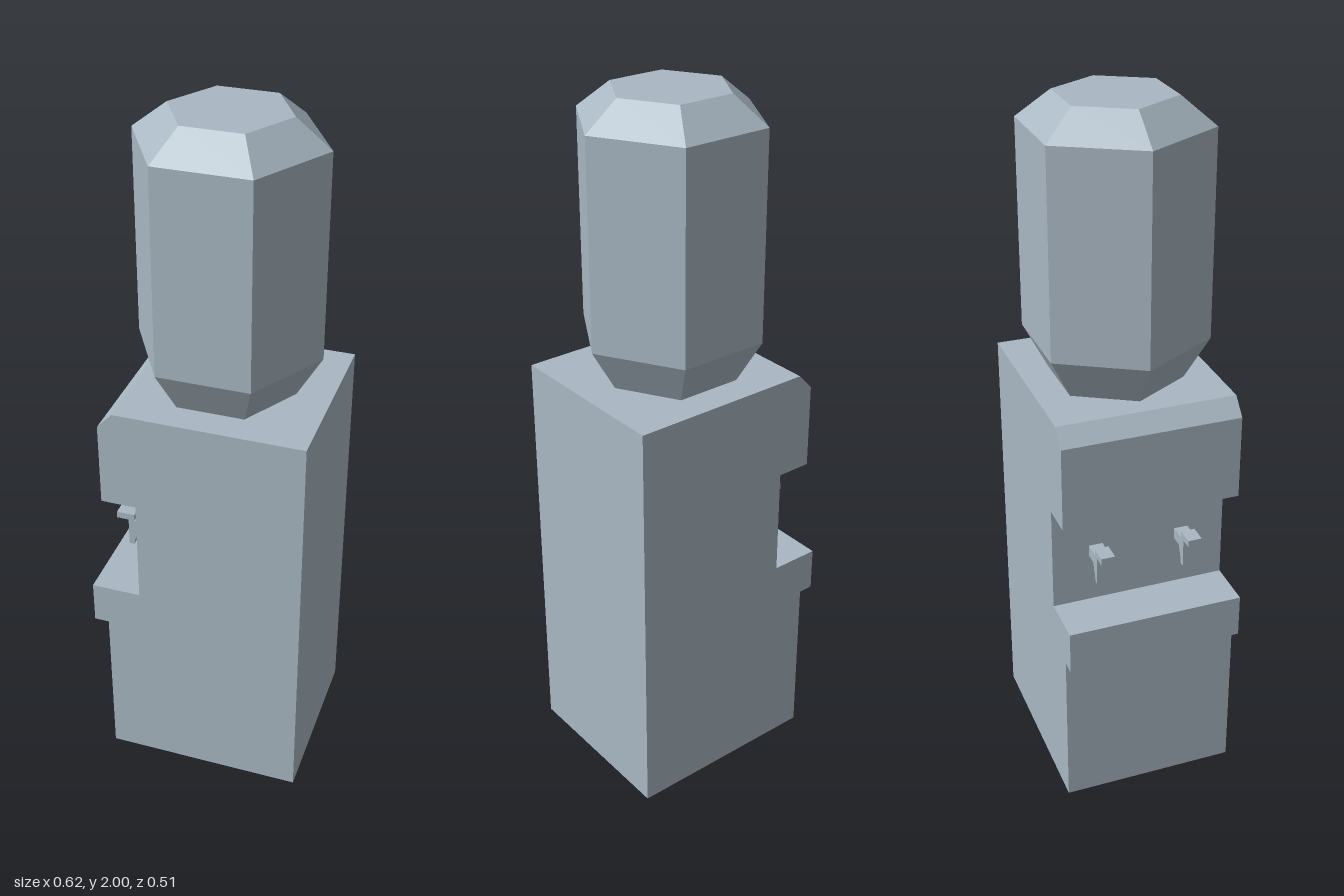
import * as THREE from 'three';

// Extrude an x/y profile along z, centred on the given z
function slab(name, points, width, z, material) {
  const shape = new THREE.Shape(points.map(([x, y]) => new THREE.Vector2(x, y)));
  const geometry = new THREE.ExtrudeGeometry(shape, { depth: width, bevelEnabled: false });
  geometry.translate(0, 0, z - width / 2);
  const mesh = new THREE.Mesh(geometry, material);
  mesh.name = name;
  return mesh;
}

export function createModel() {
  const model = new THREE.Group();
  model.name = 'waterCooler';
  const blueGrey = new THREE.MeshStandardMaterial({ color: 0xa9b8c3, flatShading: true });
  blueGrey.name = 'blueGrey';

  // Cabinet with chamfered top edge, tap recess and drip ledge
  model.add(slab('cabinet', [
    [-0.268, 0], [0.311, 0], [0.311, 1.222], [-0.225, 1.222], [-0.268, 1.175],
    [-0.268, 0.93], [-0.167, 0.93], [-0.167, 0.615], [-0.311, 0.615],
    [-0.311, 0.487], [-0.268, 0.487],
  ], 0.51, 0, blueGrey));

  // Pair of taps: lever, body and tapered spout in one profile
  const tapProfile = [
    [-0.167, 0.795], [-0.217, 0.795], [-0.217, 0.815], [-0.27, 0.815], [-0.27, 0.795],
    [-0.235, 0.795], [-0.235, 0.71], [-0.22, 0.71], [-0.217, 0.727], [-0.203, 0.762],
    [-0.167, 0.762],
  ];
  for (const side of [-1, 1]) {
    model.add(slab(side < 0 ? 'rearTap' : 'frontTap', tapProfile, 0.04, side * 0.128, blueGrey));
  }

  // Six-sided bottle with tapered neck and bevelled top
  const bottleProfile = [[0, 1.222], [0.19, 1.222], [0.261, 1.345], [0.261, 1.925], [0.165, 2], [0, 2]];
  const bottle = new THREE.Mesh(
    new THREE.LatheGeometry(bottleProfile.map(([r, y]) => new THREE.Vector2(r, y)), 6),
    blueGrey,
  );
  bottle.name = 'bottle';
  bottle.rotation.y = Math.PI / 2;
  bottle.position.x = 0.021;
  model.add(bottle);

  return model;
}
